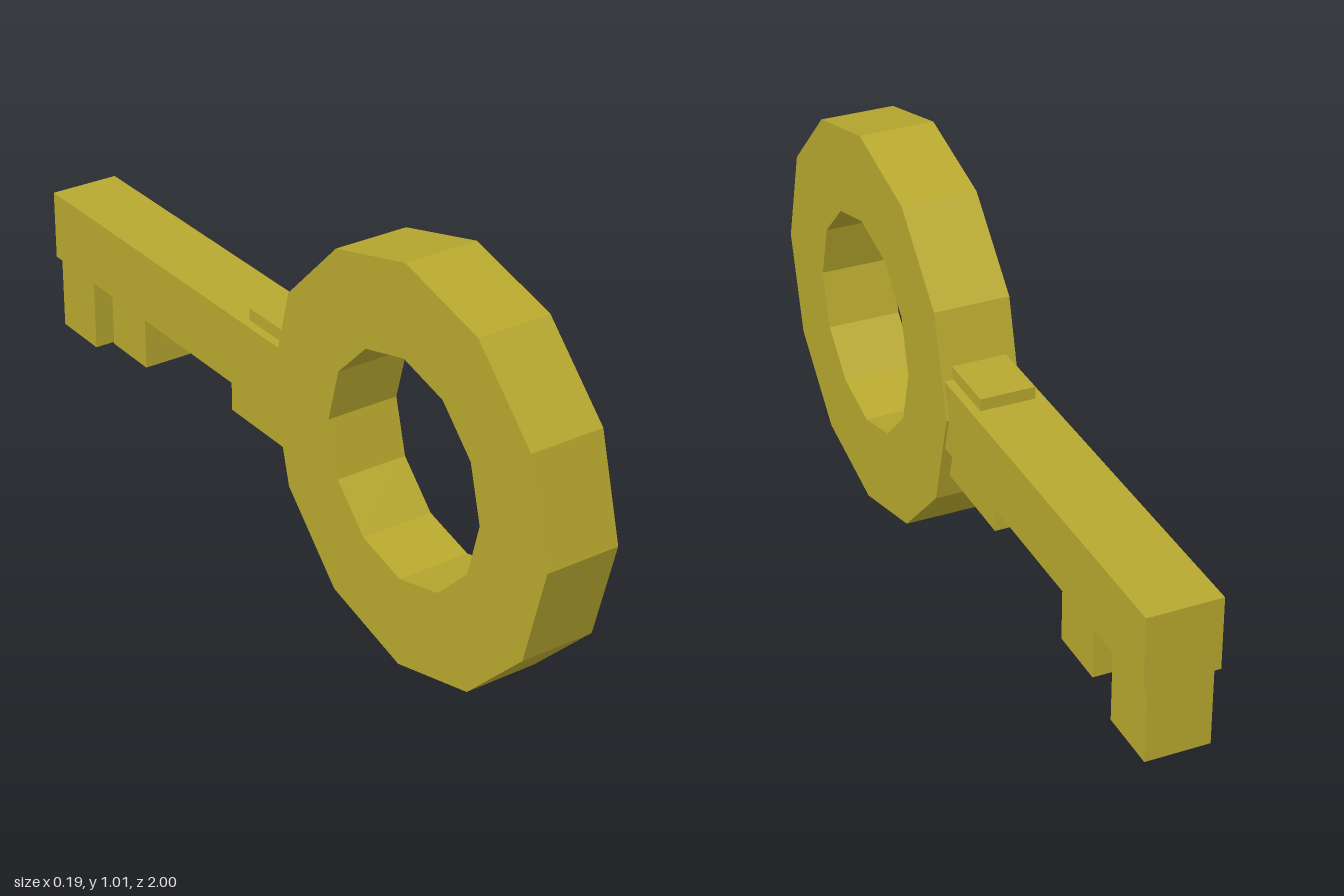
import * as THREE from 'three';

export function createModel() {
  const key = new THREE.Group();
  key.name = 'key';
  const brass = new THREE.MeshStandardMaterial({ color: 0xb8a92f, flatShading: true });

  const add = (name, geometry) => {
    const mesh = new THREE.Mesh(geometry, brass);
    mesh.name = name;
    key.add(mesh);
    return mesh;
  };

  // Box given by its lower and upper limits on each axis
  const block = (name, [x0, x1], [y0, y1], [z0, z1]) =>
    add(name, new THREE.BoxGeometry(x1 - x0, y1 - y0, z1 - z0))
      .position.set((x0 + x1) / 2, (y0 + y1) / 2, (z0 + z1) / 2);

  // Twelve-sided ring handle with a corner at the top
  const polygon = (radius) => Array.from({ length: 12 }, (_, i) => {
    const a = (i / 12) * Math.PI * 2;
    return new THREE.Vector2(Math.cos(a) * radius, Math.sin(a) * radius);
  });
  const outline = new THREE.Shape(polygon(0.503));
  outline.holes.push(new THREE.Path(polygon(0.277)));
  const ring = new THREE.ExtrudeGeometry(outline, { depth: 0.188, bevelEnabled: false });
  ring.translate(0, 0, -0.094).rotateY(-Math.PI / 2);
  add('ringHandle', ring).position.set(0, 0.503, 0.497);

  // Shaft running back from the ring
  block('shaft', [-0.092, 0.088], [0.415, 0.595], [-1, 0.05]);

  // Collar pieces above and below the shaft, where it meets the ring
  block('upperCollar', [-0.07, 0.066], [0.58, 0.626], [-0.135, 0.025]);
  block('lowerCollar', [-0.07, 0.066], [0.32, 0.43], [-0.215, 0.06]);

  // Teeth hanging below the far end
  block('innerTooth', [-0.08, 0.076], [0.27, 0.43], [-0.745, -0.59]);
  block('outerTooth', [-0.08, 0.076], [0.22, 0.43], [-0.993, -0.835]);

  return key;
}
